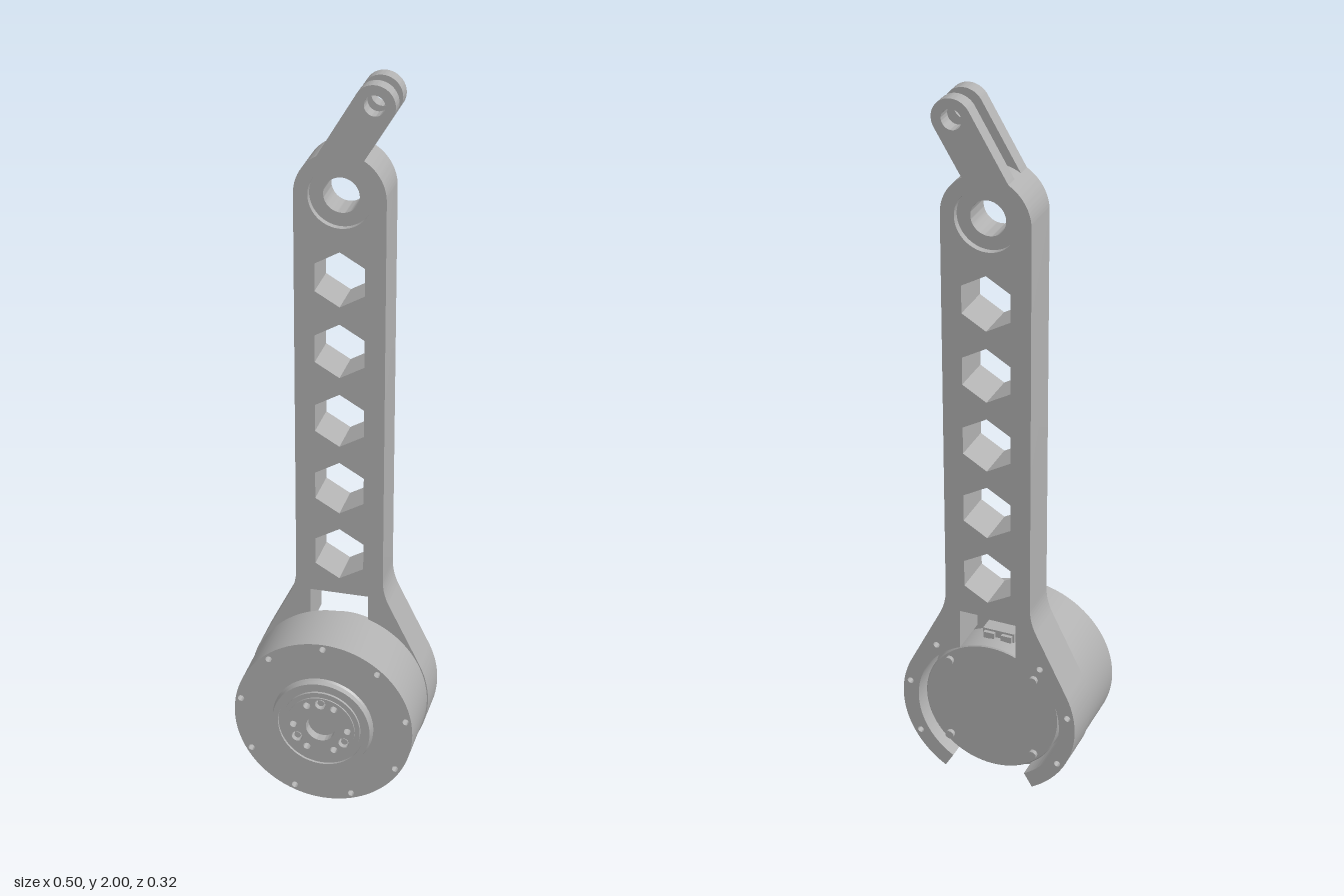
import * as THREE from 'three';
import { toCreasedNormals } from 'three/addons/utils/BufferGeometryUtils.js';

const MOTOR_Y = 0.25, PIVOT_Y = 1.7;
const BACK = -0.16, FACE = -0.045; // arm plate depth range
const rad = THREE.MathUtils.degToRad;

export function createModel() {
  const group = new THREE.Group();
  const metal = new THREE.MeshStandardMaterial({ color: 0xb0b0b0 });
  metal.name = 'grey metal';

  function add(name, geometry, x = 0, y = 0, z = 0) {
    const mesh = new THREE.Mesh(geometry, metal);
    mesh.name = name;
    mesh.position.set(x, y, z);
    group.add(mesh);
    return mesh;
  }
  function slab(shape, z0, z1) {
    const g = new THREE.ExtrudeGeometry(shape, { depth: z1 - z0, bevelEnabled: false, curveSegments: 40 });
    g.translate(0, 0, z0);
    return toCreasedNormals(g, 0.5);
  }
  // profile of [radius, z] pairs, turned around the z axis
  function turned(profile) {
    const g = new THREE.LatheGeometry(profile.map(([r, z]) => new THREE.Vector2(r, z)), 72);
    g.rotateX(Math.PI / 2);
    return toCreasedNormals(g, 0.5);
  }
  function hole(shape, x, y, r) {
    shape.holes.push(new THREE.Path().absarc(x, y, r, 0, Math.PI * 2, true));
  }
  function polar(r, degrees) {
    return [r * Math.cos(rad(degrees)), r * Math.sin(rad(degrees))];
  }
  function disc(r) {
    return new THREE.Shape().absarc(0, 0, r, 0, Math.PI * 2, false);
  }

  // Arm plate: open clamp ring below, straight beam, rounded pivot end
  const outer = 0.25, inner = 0.205, cut = rad(-59.3), tangent = rad(26.4);
  const gate = Math.acos(0.08 / inner);
  const arm = new THREE.Shape();
  arm.absarc(0, MOTOR_Y, outer, cut, tangent, false);
  arm.lineTo(0.138, 0.534);
  arm.quadraticCurveTo(0.12, 0.57, 0.12, 0.61);
  arm.lineTo(0.12, PIVOT_Y);
  arm.absarc(0, PIVOT_Y, 0.12, 0, Math.PI, false);
  arm.lineTo(-0.12, 0.61);
  arm.quadraticCurveTo(-0.12, 0.57, -0.138, 0.534);
  arm.absarc(0, MOTOR_Y, outer, Math.PI - tangent, Math.PI - cut, false);
  arm.absarc(0, MOTOR_Y, inner, Math.PI - cut, Math.PI - gate, true);
  arm.lineTo(-0.08, 0.555);
  arm.lineTo(0.08, 0.555);
  arm.absarc(0, MOTOR_Y, inner, gate, cut, true);
  arm.closePath();

  // Hexagonal lightening holes, pivot hole and clamp screw holes
  for (let i = 0; i < 5; i++) {
    const hex = [];
    for (let k = 0; k < 6; k++) {
      const [x, y] = polar(0.076, 90 - 60 * k);
      hex.push(new THREE.Vector2(x, 0.677 + 0.2 * i + y));
    }
    arm.holes.push(new THREE.Path(hex));
  }
  hole(arm, 0, PIVOT_Y, 0.083);
  for (const a of [10, 50, 130, 170, 210, 330]) {
    const [x, y] = polar(0.232, a);
    hole(arm, x, MOTOR_Y + y, 0.009);
  }
  add('arm', slab(arm, BACK, FACE));

  // Recessed bearing in the pivot
  add('pivotBearing', turned([[0.047, -0.143], [0.083, -0.143], [0.083, -0.062],
    [0.047, -0.062], [0.047, -0.143]]), 0, PIVOT_Y);

  // Slanted fork: two equal ears with a slot between
  const tip = new THREE.Vector2(0.087, 1.948);
  const ear = new THREE.Shape();
  ear.moveTo(0.062, 1.803);
  ear.absarc(tip.x, tip.y, 0.053, rad(-30), rad(150), false);
  ear.lineTo(-0.06, 1.804);
  ear.absarc(0, PIVOT_Y, 0.12, rad(120), rad(59), true);
  hole(ear, tip.x, tip.y, 0.027);
  add('rearForkEar', slab(ear, BACK, -0.122));
  add('frontForkEar', slab(ear, -0.083, FACE));

  // Motor housing with nine through holes near the rim
  const housing = disc(0.247);
  for (let i = 0; i < 9; i++) hole(housing, ...polar(0.232, 90 + 40 * i), 0.009);
  add('motorHousing', slab(housing, FACE, 0.13), 0, MOTOR_Y);

  // Motor rear cover inside the clamp ring, with four screws
  add('motorRearCover', turned([[0, -0.135], [0.19, -0.135], [0.193, -0.132], [0.193, FACE]]), 0, MOTOR_Y);
  for (let i = 0; i < 4; i++) {
    const [x, y] = polar(0.172, 45 + 90 * i);
    const screw = new THREE.CylinderGeometry(0.012, 0.012, 0.016, 16).rotateX(Math.PI / 2);
    add('coverScrew', toCreasedNormals(screw, 0.5), x, MOTOR_Y + y, -0.139);
  }

  // Cable sockets above and below the rear cover
  for (const side of [1, -1]) {
    const y = MOTOR_Y + side * 0.2;
    add('socket', new THREE.BoxGeometry(0.09, 0.03, 0.04), 0, y, -0.066);
    for (const x of [-0.025, 0.025]) {
      add('socketPlug', new THREE.BoxGeometry(0.03, 0.018, 0.012), x, y, -0.09);
    }
  }

  // Output hub: stepped flange with a groove
  add('hubFlange', turned([[0.14, 0.13], [0.136, 0.136], [0.135, 0.152], [0.119, 0.152],
    [0.119, 0.145], [0.108, 0.145], [0.108, 0.152], [0.093, 0.152]]), 0, MOTOR_Y);

  // Hub face with bore, three large and six small holes
  const face = disc(0.094);
  hole(face, 0, 0, 0.04);
  for (let i = 0; i < 3; i++) {
    const a = 90 + 120 * i;
    hole(face, ...polar(0.075, a), 0.015);
    hole(face, ...polar(0.075, a + 30), 0.01);
    hole(face, ...polar(0.075, a - 30), 0.01);
    const [x, y] = polar(0.075, a);
    const pin = new THREE.CylinderGeometry(0.009, 0.009, 0.02, 16).rotateX(Math.PI / 2);
    add('hubPin', toCreasedNormals(pin, 0.5), x, MOTOR_Y + y, 0.14);
  }
  add('hubFace', slab(face, 0.13, 0.156), 0, MOTOR_Y);

  return group;
}
